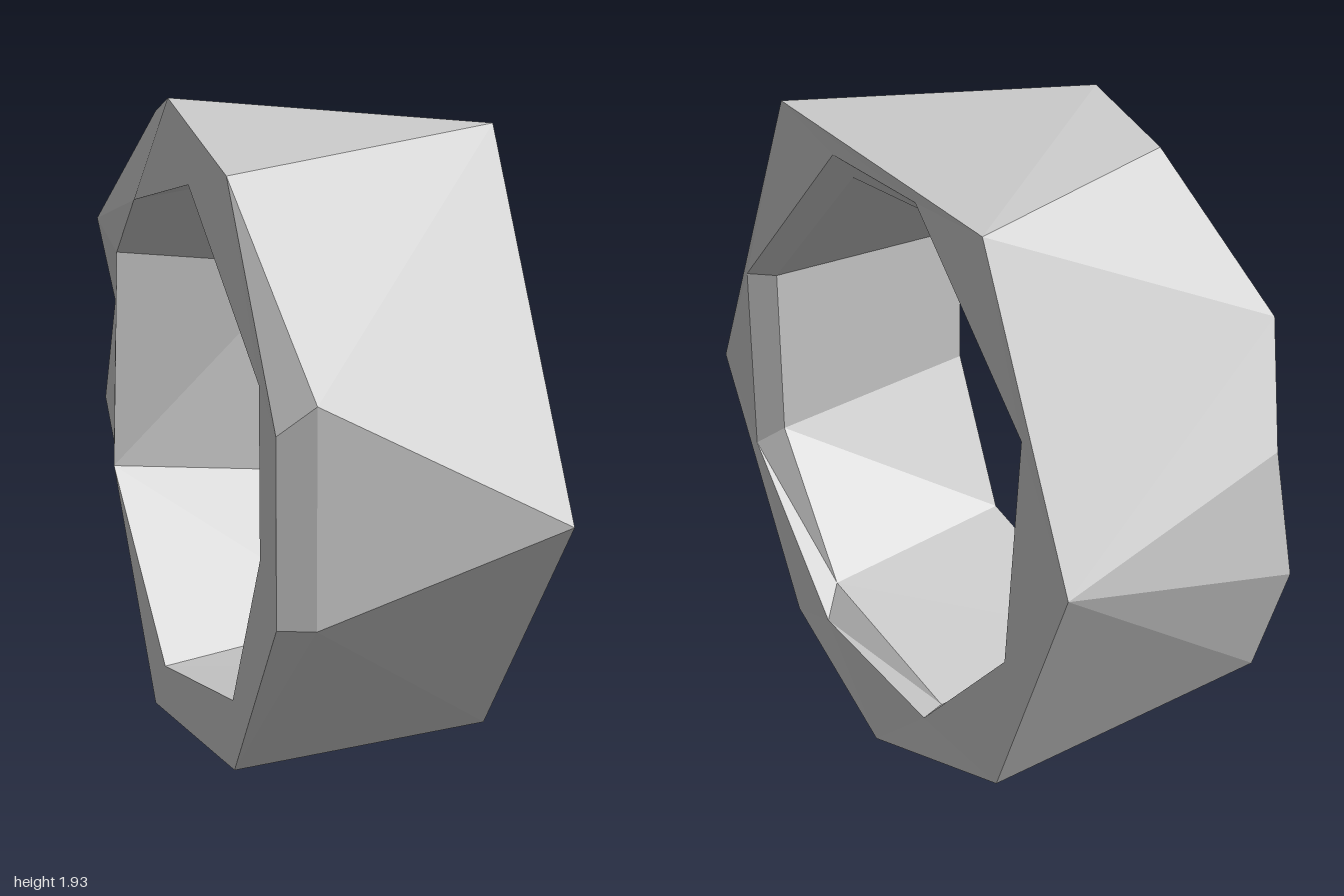
import * as THREE from 'three';

// Ring axis runs along x; loops turn about (y = 0.95, z = 0).
const CENTRE_Y = 0.95;

// Makes a loop of corners from [z, y, x] entries (x optional), sorted by angle.
function loop(defaultX, points) {
  const angle = (p) => (Math.atan2(p.y - CENTRE_Y, p.z) + Math.PI * 2) % (Math.PI * 2);
  return points
    .map(([z, y, x = defaultX]) => new THREE.Vector3(x, y, z))
    .sort((a, b) => angle(a) - angle(b));
}

// Bridges two loops of different counts with triangles, taking the shorter diagonal.
function bridge(a, b) {
  let start = 0;
  b.forEach((p, i) => {
    if (p.distanceTo(a[0]) < b[start].distanceTo(a[0])) start = i;
  });
  const A = (i) => a[i % a.length];
  const B = (j) => b[(j + start) % b.length];
  const out = [];
  const add = (p, q, r) => {
    if (new THREE.Triangle(p, q, r).getArea() > 1e-6) out.push(p, q, r);
  };
  let i = 0, j = 0;
  while (i < a.length || j < b.length) {
    const stepA = j >= b.length ||
      (i < a.length && A(i + 1).distanceTo(B(j)) < A(i).distanceTo(B(j + 1)));
    if (stepA) {
      add(A(i), A(i + 1), B(j));
      i++;
    } else {
      add(A(i), B(j + 1), B(j));
      j++;
    }
  }
  const geometry = new THREE.BufferGeometry().setFromPoints(out);
  geometry.computeVertexNormals();
  return geometry;
}

export function createModel() {
  const group = new THREE.Group();
  group.name = 'facetedRing';
  const material = new THREE.MeshStandardMaterial({
    color: 0xcccccc, flatShading: true, side: THREE.DoubleSide,
  });

  // Outer corners on each side
  const outerLeft = loop(0.375, [
    [1, 0.93], [0.48, 1.885], [-0.6, 1.79], [-0.99, 0.985],
    [-0.67, 0.26], [0.02, 0], [0.53, 0.205],
  ]);
  const outerRight = loop(-0.37, [
    [0.94, 1.285, -0.29], [0.51, 1.78], [0, 1.935], [-0.41, 1.865, -0.29],
    [-0.8, 1.5, -0.38], [-0.95, 1.2, -0.29], [-1, 0.86, -0.32],
    [-0.91, 0.55, -0.29], [-0.26, 0.05], [0.53, 0.18], [0.94, 0.72, -0.29],
  ]);
  // Chamfer corners on the right face, set in only at the front
  const rimRight = loop(-0.37, [
    [0.9, 1.21, -0.38], [0.51, 1.78], [0, 1.935], [-0.41, 1.865, -0.29],
    [-0.8, 1.5, -0.38], [-0.95, 1.2, -0.29], [-0.91, 0.55, -0.29],
    [-0.26, 0.05], [0.53, 0.18], [0.9, 0.72, -0.38],
  ]);
  // Hole corners
  const innerRight = loop(-0.37, [
    [0.75, 1.3], [0.18, 1.72], [-0.38, 1.61], [-0.6, 1.42], [-0.71, 0.7],
    [-0.14, 0.22], [0.52, 0.38], [0.75, 0.85],
  ]);
  const innerLeft = loop(0.3, [
    [0.735, 1.27], [0.2, 1.72], [-0.22, 1.73], [-0.73, 1.32], [-0.7, 0.62],
    [-0.25, 0.25], [0.4, 0.34], [0.735, 0.75],
  ]);
  const rimLeft = loop(0.37, [
    [0.8, 1.27], [0.18, 1.8], [-0.27, 1.785], [-0.77, 1.32], [-0.7, 0.66],
    [-0.27, 0.24], [0.33, 0.26], [0.8, 0.69],
  ]);

  // Surfaces, going once around the section of the band
  const parts = [
    ['outerBand', outerLeft, outerRight],
    ['rightChamfer', outerRight, rimRight],
    ['rightFace', rimRight, innerRight],
    ['innerBand', innerRight, innerLeft],
    ['leftChamfer', innerLeft, rimLeft],
    ['leftFace', rimLeft, outerLeft],
  ];
  for (const [name, a, b] of parts) {
    const mesh = new THREE.Mesh(bridge(a, b), material);
    mesh.name = name;
    group.add(mesh);
  }
  return group;
}
